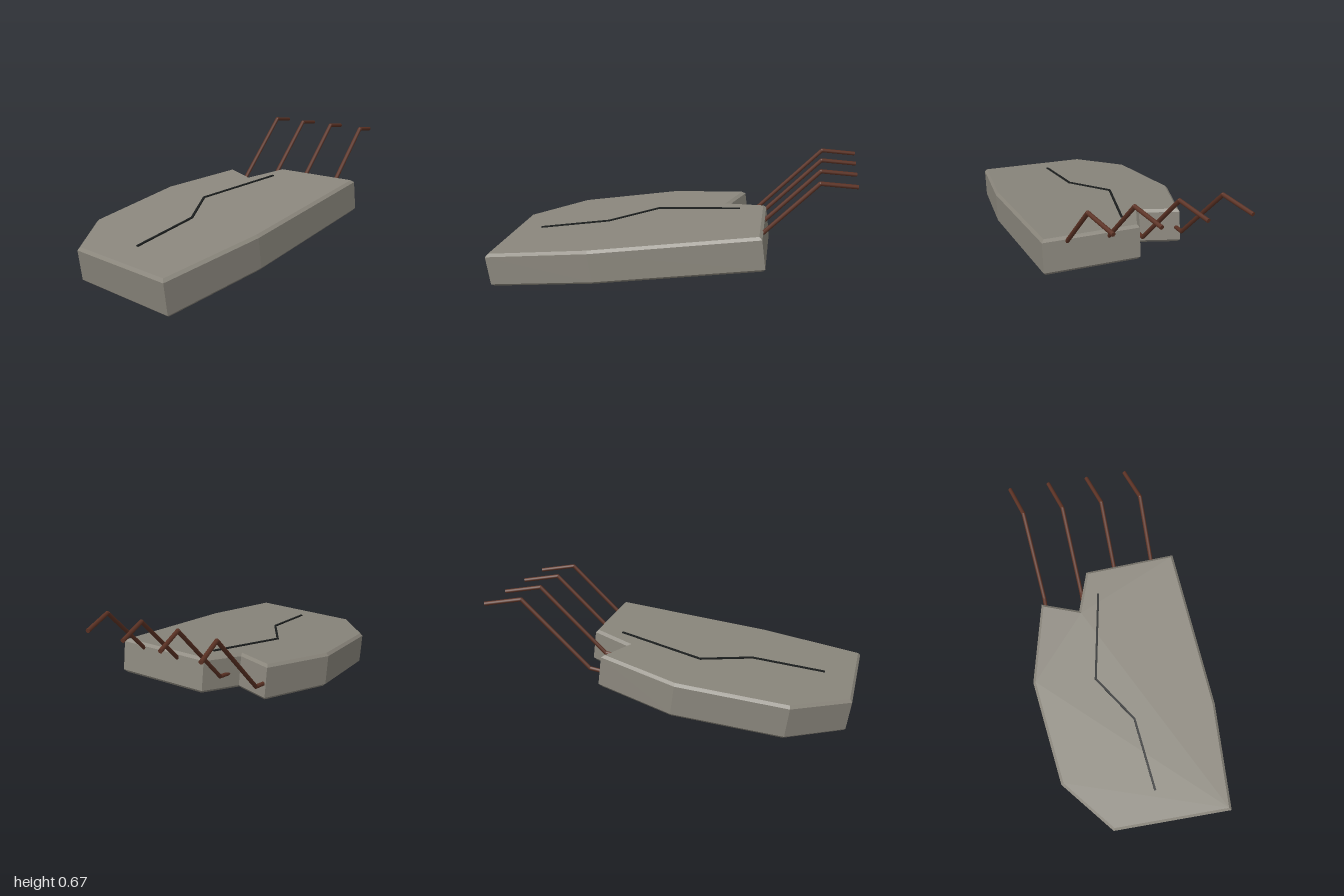
import * as THREE from 'three';

const concrete = new THREE.MeshStandardMaterial({ color: 0x8a867c });
concrete.name = 'concrete grey';
const rust = new THREE.MeshStandardMaterial({ color: 0x5c3224 });
rust.name = 'rust brown';
const dark = new THREE.MeshStandardMaterial({ color: 0x1c1f1f });
dark.name = 'crack black';

const TILT = 0.133, THICK = 0.195, BEVEL = 0.015;

// Thin box lying flat between two [x, z] points
function strip(a, b, y, width, height) {
  const dx = b[0] - a[0], dz = b[1] - a[1];
  const mesh = new THREE.Mesh(new THREE.BoxGeometry(Math.hypot(dx, dz) + width * 0.5, height, width), dark);
  mesh.position.set((a[0] + b[0]) / 2, y, (a[1] + b[1]) / 2);
  mesh.rotation.y = -Math.atan2(dz, dx);
  return mesh;
}

// Straight round rod between two points
function rod(a, b, radius) {
  const dir = b.clone().sub(a);
  const mesh = new THREE.Mesh(new THREE.CylinderGeometry(radius, radius, dir.length(), 8), rust);
  mesh.position.copy(a).add(b).multiplyScalar(0.5);
  mesh.quaternion.setFromUnitVectors(new THREE.Vector3(0, 1, 0), dir.normalize());
  return mesh;
}

export function createModel() {
  const model = new THREE.Group();
  model.name = 'brokenSlab';

  // Tilted frame: origin at the low left edge of the slab
  const tilted = new THREE.Group();
  tilted.name = 'tiltedSlab';
  tilted.position.set(-0.975, -0.002, 0);
  tilted.rotation.z = TILT;
  model.add(tilted);

  // Slab with a broken notch, bevelled all round
  const outline = [
    [0, 0.485], [0.61, 0.51], [1.545, 0.435], [1.52, -0.1], [1.29, -0.18],
    [1.365, -0.395], [0.905, -0.512], [0.3, -0.44], [0, -0.19],
  ];
  const shape = new THREE.Shape(outline.map(([x, z]) => new THREE.Vector2(x, -z)));
  const slabGeometry = new THREE.ExtrudeGeometry(shape, {
    depth: THICK - 2 * BEVEL, bevelEnabled: true, bevelSegments: 1,
    bevelSize: BEVEL, bevelThickness: BEVEL, bevelOffset: -BEVEL,
  });
  slabGeometry.rotateX(-Math.PI / 2).translate(0, BEVEL, 0);
  const slab = new THREE.Mesh(slabGeometry, concrete);
  slab.name = 'slab';
  tilted.add(slab);

  // Crack zigzagging across the top
  const crack = new THREE.Group();
  crack.name = 'crack';
  const path = [[0.183, 0.077], [0.597, 0.032], [0.864, -0.15], [1.368, -0.052]];
  for (let i = 0; i < path.length - 1; i++) {
    crack.add(strip(path[i], path[i + 1], THICK + 0.003, 0.012, 0.009));
  }
  tilted.add(crack);

  // Bent reinforcing bars sticking out of the broken end
  const radius = 0.0115;
  [0.309, 0.08, -0.148, -0.376].forEach((z, i) => {
    const bar = new THREE.Group();
    bar.name = 'bar' + (i + 1);
    const points = [
      new THREE.Vector3(0.2, 0.245, z), new THREE.Vector3(0.43, 0.275, z),
      new THREE.Vector3(0.805, 0.655, z - 0.034), new THREE.Vector3(0.999, 0.63, z - 0.093),
    ];
    for (let k = 0; k < 3; k++) bar.add(rod(points[k], points[k + 1], radius));
    // Rounded elbows
    for (const p of [points[1], points[2]]) {
      const elbow = new THREE.Mesh(new THREE.SphereGeometry(radius, 8, 6), rust);
      elbow.position.copy(p);
      bar.add(elbow);
    }
    model.add(bar);
  });

  return model;
}
